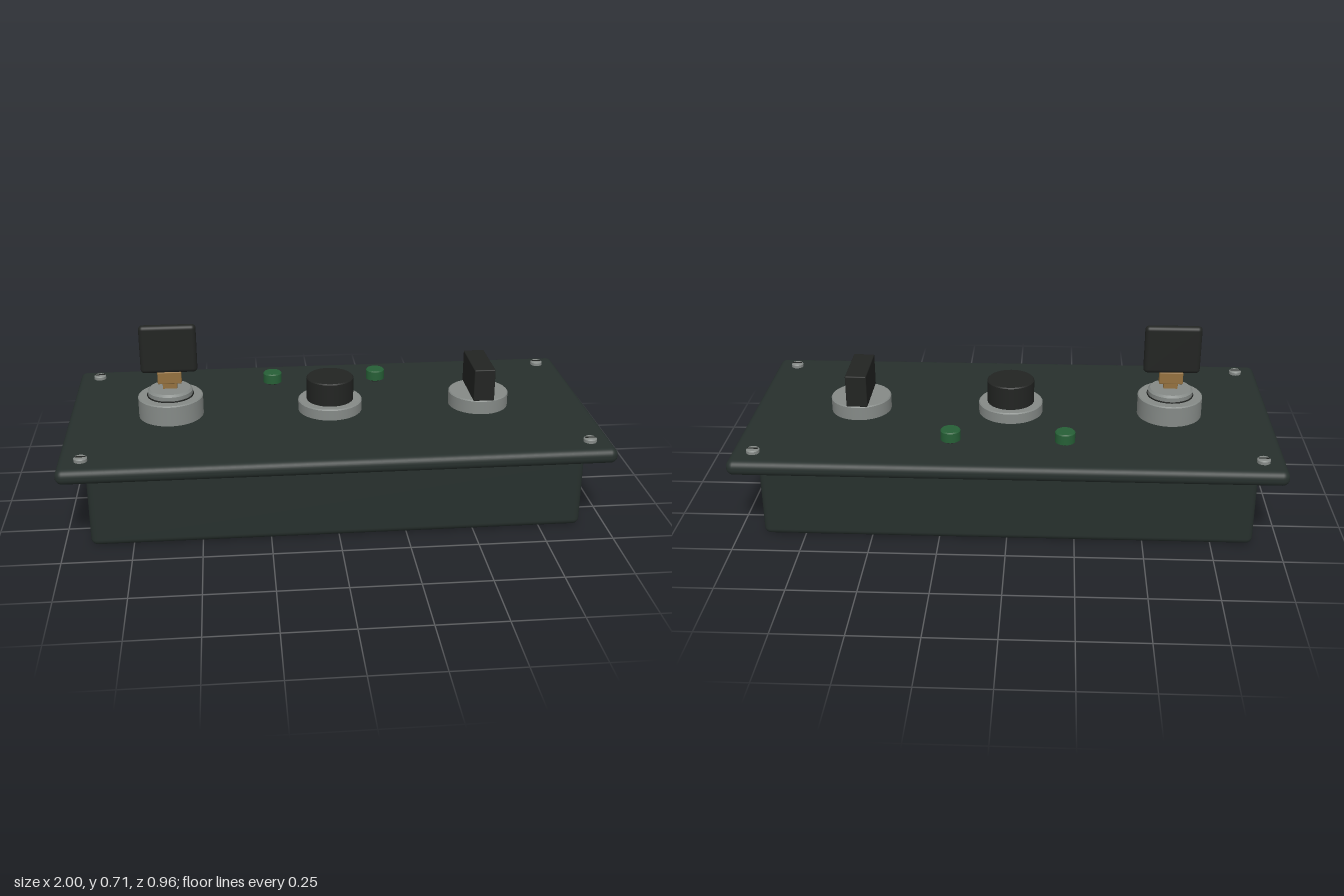
import * as THREE from 'three';
import { RoundedBoxGeometry } from 'three/addons/geometries/RoundedBoxGeometry.js';

const mat = (color) => new THREE.MeshStandardMaterial({ color });

export function createModel() {
  const model = new THREE.Group();
  model.name = 'controlPanel';
  const paint = mat(0x27302d), metal = mat(0x858a87), black = mat(0x222422);
  const brass = mat(0x94713f), green = mat(0x265f36);

  const add = (parent, name, geometry, material, x, y, z) => {
    const mesh = new THREE.Mesh(geometry, material);
    mesh.name = name;
    mesh.position.set(x, y, z);
    parent.add(mesh);
    return mesh;
  };
  // Rounded block spanning y0 to y1
  const block = (parent, name, material, w, d, y0, y1, r, x = 0, z = 0) =>
    add(parent, name, new RoundedBoxGeometry(w, y1 - y0, d, 4, r), material, x, (y0 + y1) / 2, z);
  // Turned part spanning y0 to y1, with a small bevel b at the top edge
  const turned = (parent, name, material, r, y0, y1, b = 0.004, x = 0, z = 0) => {
    const h = y1 - y0;
    const pts = [[0, 0], [r, 0], [r, 0], [r, h - b], [r, h - b], [r - b, h], [r - b, h], [0, h]];
    const profile = pts.map(([px, py]) => new THREE.Vector2(px, py));
    return add(parent, name, new THREE.LatheGeometry(profile, 40), material, x, y0, z);
  };
  const group = (name, x, z = 0) => {
    const g = new THREE.Group();
    g.name = name;
    g.position.set(x, 0, z);
    model.add(g);
    return g;
  };

  // Housing and face plate
  block(model, 'housing', paint, 1.81, 0.784, 0, 0.284, 0.025);
  block(model, 'facePlate', paint, 2, 0.957, 0.29, 0.347, 0.026);

  // Key switch
  const key = group('keySwitch', -0.61);
  turned(key, 'lockBarrel', black, 0.027, 0.284, 0.347);
  turned(key, 'lockBase', metal, 0.123, 0.345, 0.427);
  turned(key, 'lockCollar', metal, 0.085, 0.427, 0.455, 0.008);
  const groove = add(key, 'collarGroove', new THREE.TorusGeometry(0.086, 0.003, 6, 40), black, 0, 0.429, 0);
  groove.rotation.x = Math.PI / 2;
  block(key, 'keyBlade', brass, 0.054, 0.024, 0.45, 0.482, 0.003);
  block(key, 'keyShoulder', brass, 0.09, 0.03, 0.474, 0.522, 0.004);
  block(key, 'keyHead', black, 0.213, 0.034, 0.518, 0.706, 0.016);

  // Push button
  const button = group('pushButton', 0);
  turned(button, 'buttonBezel', metal, 0.123, 0.345, 0.39);
  turned(button, 'buttonCap', black, 0.09, 0.39, 0.48);

  // Rotary selector
  const selector = group('rotarySelector', 0.58);
  turned(selector, 'selectorBase', metal, 0.115, 0.345, 0.402);
  block(selector, 'selectorHandle', black, 0.08, 0.222, 0.4, 0.526, 0.004);

  // Indicator lamps
  for (const x of [-0.21, 0.21]) {
    const lamp = group('indicatorLamp', x, -0.275);
    turned(lamp, 'lampStem', black, 0.02, 0.345, 0.36);
    turned(lamp, 'lampLens', green, 0.037, 0.357, 0.397);
  }

  // Corner screws with slotted heads
  for (const x of [-0.915, 0.915]) {
    for (const z of [-0.392, 0.392]) {
      const screw = group('cornerScrew', x, z);
      turned(screw, 'screwHead', metal, 0.024, 0.345, 0.362);
      add(screw, 'screwSlot', new THREE.BoxGeometry(0.038, 0.004, 0.005), black, 0, 0.3625, 0);
    }
  }
  return model;
}
